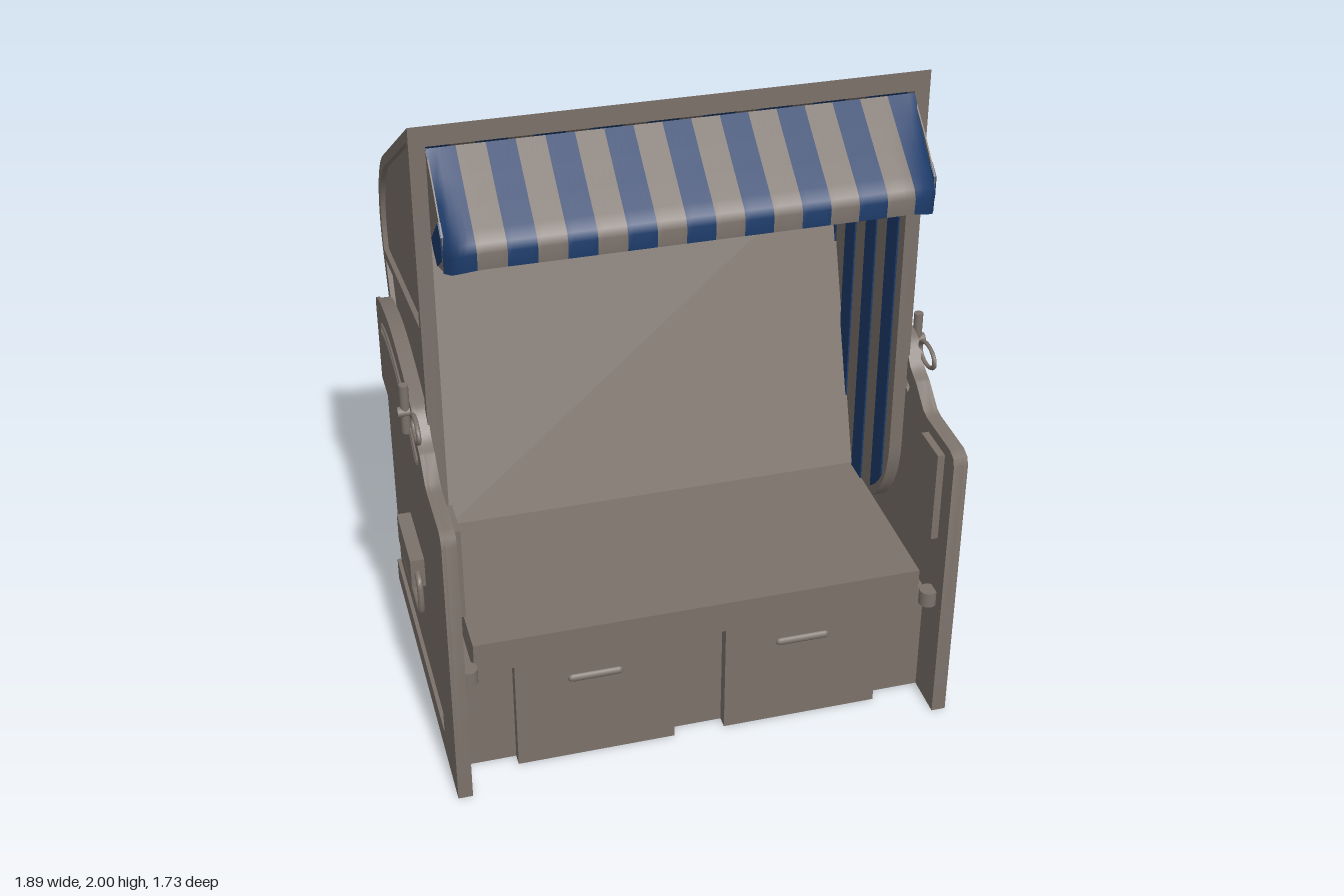
import * as THREE from 'three';
import { toCreasedNormals, mergeGeometries } from 'three/addons/utils/BufferGeometryUtils.js';

const wood = new THREE.MeshStandardMaterial({ color: 0x7b716a, side: THREE.DoubleSide });
wood.name = 'greyBrown';
const blue = new THREE.MeshStandardMaterial({ color: 0x1c3b69, side: THREE.DoubleSide });
blue.name = 'stripeBlue';

const V = (x, y) => new THREE.Vector2(x, y);
const pts = (list) => list.map(([a, b]) => V(a, b));

export function createModel() {
  const root = new THREE.Group();
  root.name = 'beachChair';
  const chair = new THREE.Group();
  chair.name = 'chair';
  chair.rotation.y = -0.49; // the chair stands turned on its spot
  root.add(chair);

  const add = (name, geo, mat = wood) => {
    const m = new THREE.Mesh(geo, mat);
    m.name = name;
    chair.add(m);
  };
  // Extrude a side profile (z, y) across the width from x0 to x1
  const across = (outline, x0, x1, holes = []) => {
    const shape = new THREE.Shape(outline);
    holes.forEach((h) => shape.holes.push(new THREE.Path(h)));
    const g = new THREE.ExtrudeGeometry(shape, { depth: x1 - x0, bevelEnabled: false });
    g.rotateY(-Math.PI / 2).translate(x1, 0, 0);
    return toCreasedNormals(g, 0.5);
  };
  // Same, on the left (s = 1) or right (s = -1), a = inner and b = outer distance
  const onSide = (s, outline, a, b, holes) =>
    across(outline, s > 0 ? a : -b, s > 0 ? b : -a, holes);
  const box = (x0, x1, y0, y1, z0, z1) =>
    new THREE.BoxGeometry(x1 - x0, y1 - y0, z1 - z0)
      .translate((x0 + x1) / 2, (y0 + y1) / 2, (z0 + z1) / 2);

  // Base with rounded rear cover
  const rear = [];
  for (let i = 0; i <= 12; i++) {
    const a = (i / 12) * Math.PI / 2;
    rear.push(V(-0.2 - 0.31 * Math.sin(a), 0.06 + 0.32 * Math.cos(a)));
  }
  add('base', across([
    ...pts([[0.43, 0], [0.43, 0.385], [-0.2, 0.385]]),
    ...rear, ...pts([[-0.51, 0.04], [-0.545, 0.04], [-0.545, 0]])], -0.73, 0.73));
  add('seatFrame', box(-0.69, 0.69, 0.38, 0.44, -0.15, 0.472));
  add('seat', box(-0.69, 0.69, 0.44, 0.49, -0.16, 0.478));
  for (const s of [-1, 1]) {
    const c = s * 0.325;
    add('drawer', box(c - 0.245, c + 0.245, 0, 0.385, 0.42, 0.468));
    const grip = new THREE.CapsuleGeometry(0.013, 0.145, 4, 10).rotateZ(Math.PI / 2);
    add('drawerGrip', grip.translate(c, 0.3, 0.466));
  }

  // Side panels of the base
  const armTop = [
    ...pts([[0.568, 0], [0.568, 0.92], [0.558, 0.945], [0.53, 0.957], [0.35, 0.957], [0.32, 0.965]]),
    ...new THREE.SplineCurve(pts([[0.25, 1.02], [0.2, 1.045], [0.155, 1.095], [0.1, 1.12],
      [-0.07, 1.155], [-0.24, 1.17], [-0.41, 1.15], [-0.5, 1.125]])).getPoints(28),
    ...pts([[-0.535, 1.11], [-0.548, 1.085]])];
  const slotCurve = new THREE.SplineCurve(
    pts([[0.2, 0.965], [0.04, 1.035], [-0.13, 1.08], [-0.3, 1.085], [-0.42, 1.06]]));
  const slotEdge = (d) => Array.from({ length: 17 }, (_, i) => {
    const p = slotCurve.getPoint(i / 16), t = slotCurve.getTangent(i / 16);
    return V(p.x - t.y * d, p.y + t.x * d);
  });
  const slot = [...slotEdge(0.014), ...slotEdge(-0.014).reverse()];
  for (const s of [-1, 1]) {
    add('sidePanel', onSide(s, [...armTop.slice(0, -2),
      ...pts([[-0.538, 1.1], [-0.538, 0]])], 0.73, 0.762, [slot]));
    add('sideFrame', onSide(s, [...armTop, ...pts([[-0.548, 0.81], [0.36, 0.81], [0.36, 0.08],
      [-0.548, 0.08], [-0.548, 0]])], 0.762, 0.774, [slot]));
    const rim = new THREE.CatmullRomCurve3(slot.map((p) => new THREE.Vector3(s * 0.775, p.y, p.x)), true);
    add('slotRim', new THREE.TubeGeometry(rim, 80, 0.006, 6, true));

    // Carrying handle
    add('handleBlock', box(s * 0.78 - 0.025, s * 0.78 + 0.025, 0.43, 0.53, -0.175, 0.08));
    const loop = new THREE.CatmullRomCurve3([[0.09, 0.48], [0.113, 0.465], [0.118, 0.44], [0.118, 0.39],
      [0.108, 0.36], [0.08, 0.35], [-0.05, 0.35], [-0.175, 0.35], [-0.203, 0.36], [-0.213, 0.39],
      [-0.213, 0.44], [-0.208, 0.465], [-0.185, 0.48], [-0.05, 0.48]]
      .map(([z, y]) => new THREE.Vector3(s * 0.785, y, z)), true, 'centripetal');
    add('handleLoop', new THREE.TubeGeometry(loop, 80, 0.01, 8, true));

    // Tilt latch: post, cross pin and pull ring
    add('latchPost', new THREE.CylinderGeometry(0.014, 0.014, 0.16, 12).translate(s * 0.787, 1.09, 0.1));
    add('latchPin', new THREE.CylinderGeometry(0.016, 0.016, 0.09, 12)
      .rotateZ(Math.PI / 2).translate(s * 0.765, 1.08, 0.1));
    add('latchRing', new THREE.TorusGeometry(0.045, 0.007, 8, 24)
      .scale(1.25, 0.75, 1).rotateY(Math.PI / 2).translate(s * 0.775, 1.09, 0.215));

    // Folding tray and its support on the inner face
    add('foldingTray', box(s * 0.72 - 0.012, s * 0.72 + 0.012, 0.62, 0.92, 0.37, 0.5));
    add('traySupport', new THREE.CylinderGeometry(0.028, 0.028, 0.05, 16).translate(s * 0.712, 0.41, 0.505));
  }

  // Hood profile: roof slope, rounded rear, straight back
  const front = 0.176;
  const rearCurve = new THREE.CubicBezierCurve(
    V(-0.4, 1.655), V(-0.53, 1.575), V(-0.645, 1.41), V(-0.568, 1.22));
  const backPath = [V(front, 2), ...rearCurve.getPoints(18), V(-0.225, 0.42)];
  const inset = (d) => backPath.map((p, i) => {
    if (i === 0) return V(p.x - 0.02, p.y - 0.012 - 1.17 * d); // stays behind the header
    const a = backPath[i - 1], b = backPath[Math.min(i + 1, backPath.length - 1)];
    const t = b.clone().sub(a).normalize();
    return V(p.x - t.y * d, p.y + t.x * d);
  });
  const lip = (w) => 0.75 - 0.33 * Math.sqrt(Math.max(0, 1 - ((w + 0.12) / (front + 0.12)) ** 2));
  const frontLip = [];
  for (let i = 0; i <= 12; i++) {
    const w = -0.12 + (front + 0.12) * Math.sin((i / 12) * Math.PI / 2);
    frontLip.push(V(w, lip(w)));
  }
  const wall = [...backPath, ...frontLip];
  const rail = (w) => 1.338 + 0.157 * w;
  const inner = inset(0.032).filter((p) => p.x < 0.1 && p.y > rail(p.x) + 0.03);
  const upper = [V(0.145, rail(0.145) + 0.015), V(0.145, 1.945), ...inner, V(-0.552, rail(-0.552) + 0.015)];
  const lower = pts([[0.145, 1.345], [-0.525, 1.24], [-0.23, 0.53], [-0.08, 0.5], [0.07, 0.6], [0.145, 0.78]]);
  for (const s of [-1, 1]) {
    add('hoodWall', onSide(s, wall, 0.69, 0.72));
    add('hoodFrame', onSide(s, wall, 0.72, 0.735, [upper, lower]));
    // Striped lining of the inner wall, ending at the backrest
    const stripes = [0.05, -0.12, -0.29, -0.46].map((w0) => {
      const low = [], high = [];
      for (let i = 0; i <= 6; i++) {
        const w = w0 + (0.083 * i) / 6;
        low.push(V(w, w < -0.12 ? 0.46 + 2.735 * (-0.12 - w) : lip(w) + 0.04));
        high.unshift(V(w, 1.95 - 0.6 * (front - w)));
      }
      return onSide(s, [...low, ...high], 0.685, 0.69);
    });
    add('wallStripes', mergeGeometries(stripes), blue);
  }
  const band = (d0, d1) => [...inset(d0), ...inset(d1).reverse()];
  add('hoodShell', across(band(0.014, 0.036), -0.695, 0.695));
  add('hoodHeader', across(pts([[front, 2], [front, 1.94], [0.135, 1.94], [0.135, 1.976]]), -0.73, 0.73));
  add('backrest', across(pts([[-0.12, 0.46], [-0.46, 1.42], [-0.55, 1.42], [-0.2, 0.46]]), -0.69, 0.69));
  add('hoodFoot', box(-0.7, 0.7, 0.39, 0.435, -0.225, -0.14));

  // Striped ceiling lining and awning
  const count = 17, half = 0.69, step = (2 * half) / count;
  const section = pts([[front, 1.935], [0.25, 1.882], [0.32, 1.832], [0.385, 1.787],
    [0.418, 1.762], [0.43, 1.738], [0.427, 1.69]]);
  const awningStrip = (x0, x1) => {
    const n = 5, pos = [], idx = [], m = section.length;
    for (let i = 0; i <= n; i++) {
      const x = x0 + ((x1 - x0) * i) / n;
      const d = Math.min(1, Math.max(0, (Math.abs(x) - 0.58) / 0.11));
      const k = 1 - 0.24 * (1 - Math.sqrt(1 - d * d)); // rounded front corners
      section.forEach((p, j) => {
        pos.push(x, p.y - 0.03 * d * d * (j / (m - 1)), front + (p.x - front) * k);
        if (i < n && j < m - 1) {
          const a = i * m + j;
          idx.push(a, a + 1, a + m, a + m, a + 1, a + m + 1);
        }
      });
    }
    const g = new THREE.BufferGeometry();
    g.setAttribute('position', new THREE.Float32BufferAttribute(pos, 3));
    g.setIndex(idx);
    g.computeVertexNormals();
    return g;
  };
  const ceiling = [], awning = [[], []];
  const lining = band(0.035, 0.042);
  for (let i = 0; i < count; i++) {
    const x = -half + i * step;
    if (i % 2 === 0) ceiling.push(across(lining, x, x + step));
    awning[i % 2].push(awningStrip(x, x + step));
  }
  add('ceilingStripes', mergeGeometries(ceiling), blue);
  add('awningBlueStripes', mergeGeometries(awning[0]), blue);
  add('awningLightStripes', mergeGeometries(awning[1]));
  const flap = pts([[front, 1.93], [0.27, 1.855], [0.365, 1.765], [0.366, 1.665], [0.28, 1.635], [front, 1.67]]);
  const flapStripe = pts([[0.2, 1.68], [0.33, 1.793], [0.364, 1.764], [0.365, 1.7], [0.28, 1.637], [0.23, 1.655]]);
  for (const s of [-1, 1]) {
    add('awningFlap', onSide(s, flap, 0.686, 0.69));
    add('awningFlapStripe', onSide(s, flapStripe, 0.684, 0.693), blue);
  }
  return root;
}
